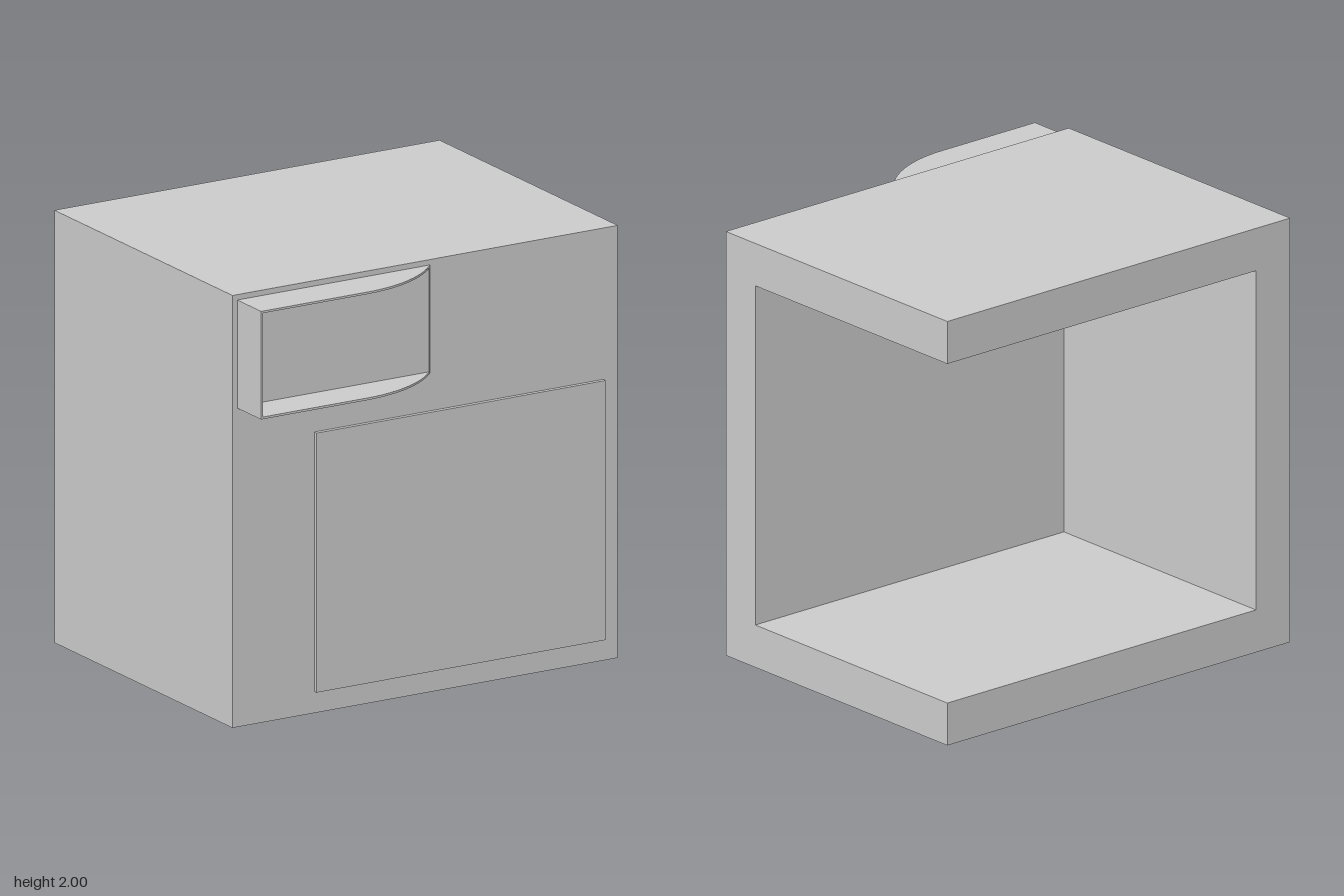
import * as THREE from 'three';

const material = new THREE.MeshStandardMaterial({ color: 0xcccccc });

function add(group, name, geometry) {
  const mesh = new THREE.Mesh(geometry, material);
  mesh.name = name;
  group.add(mesh);
}

// Box given by its minimum and maximum corners
function block(x0, x1, y0, y1, z0, z1) {
  return new THREE.BoxGeometry(x1 - x0, y1 - y0, z1 - z0)
    .translate((x0 + x1) / 2, (y0 + y1) / 2, (z0 + z1) / 2);
}

// Plan outline (x, z) raised from y0 to y1
function slab(shape, y0, y1) {
  return new THREE.ExtrudeGeometry(shape, { depth: y1 - y0, bevelEnabled: false, curveSegments: 24 })
    .rotateX(Math.PI / 2)
    .translate(0, y1, 0);
}

export function createModel() {
  const model = new THREE.Group();

  // Body: C-shaped floor, front wall and roof, closed by one side wall
  const profile = new THREE.Shape([
    [0.85, 0], [0.85, 0.2], [-0.45, 0.2], [-0.45, 1.8],
    [0.85, 1.8], [0.85, 2], [-0.65, 2], [-0.65, 0],
  ].map(([x, y]) => new THREE.Vector2(x, y)));
  const shell = new THREE.ExtrudeGeometry(profile, { depth: 1.8, bevelEnabled: false })
    .rotateY(Math.PI / 2)
    .translate(-0.8, 0, 0);
  add(model, 'floorFrontAndRoof', shell);
  add(model, 'sideWall', block(-1, -0.8, 0, 2, -0.85, 0.65));

  // Raised front panel
  add(model, 'frontPanel', block(-0.575, 0.925, 0.1, 1.3, 0.65, 0.67));

  // Sign box: open at the front, its top and bottom sweep back in an arc
  const sign = new THREE.Group();
  sign.name = 'signBox';
  const t = 0.01, left = -0.975, right = 0.025, bottom = 1.475, top = 1.975;
  const arcX = -0.43, radius = 0.617;
  const plan = new THREE.Shape();
  plan.moveTo(left, 0.65);
  plan.lineTo(right, 0.65);
  plan.absarc(arcX, 0.85 - radius, radius, Math.asin(0.417 / radius), Math.PI / 2, false);
  plan.lineTo(left, 0.85);
  plan.closePath();
  add(sign, 'signTop', slab(plan, top - t, top));
  add(sign, 'signBottom', slab(plan, bottom, bottom + t));
  add(sign, 'signSide', block(left, left + t, bottom + t, top - t, 0.65, 0.85));

  // Back plate with a slanted free edge that follows the arc
  const back = new THREE.Shape([
    [left + t, 0.65], [right, 0.65], [right - t, 0.65 + t], [left + t, 0.65 + t],
  ].map(([x, y]) => new THREE.Vector2(x, y)));
  add(sign, 'signBack', slab(back, bottom + t, top - t));
  model.add(sign);

  return model;
}
